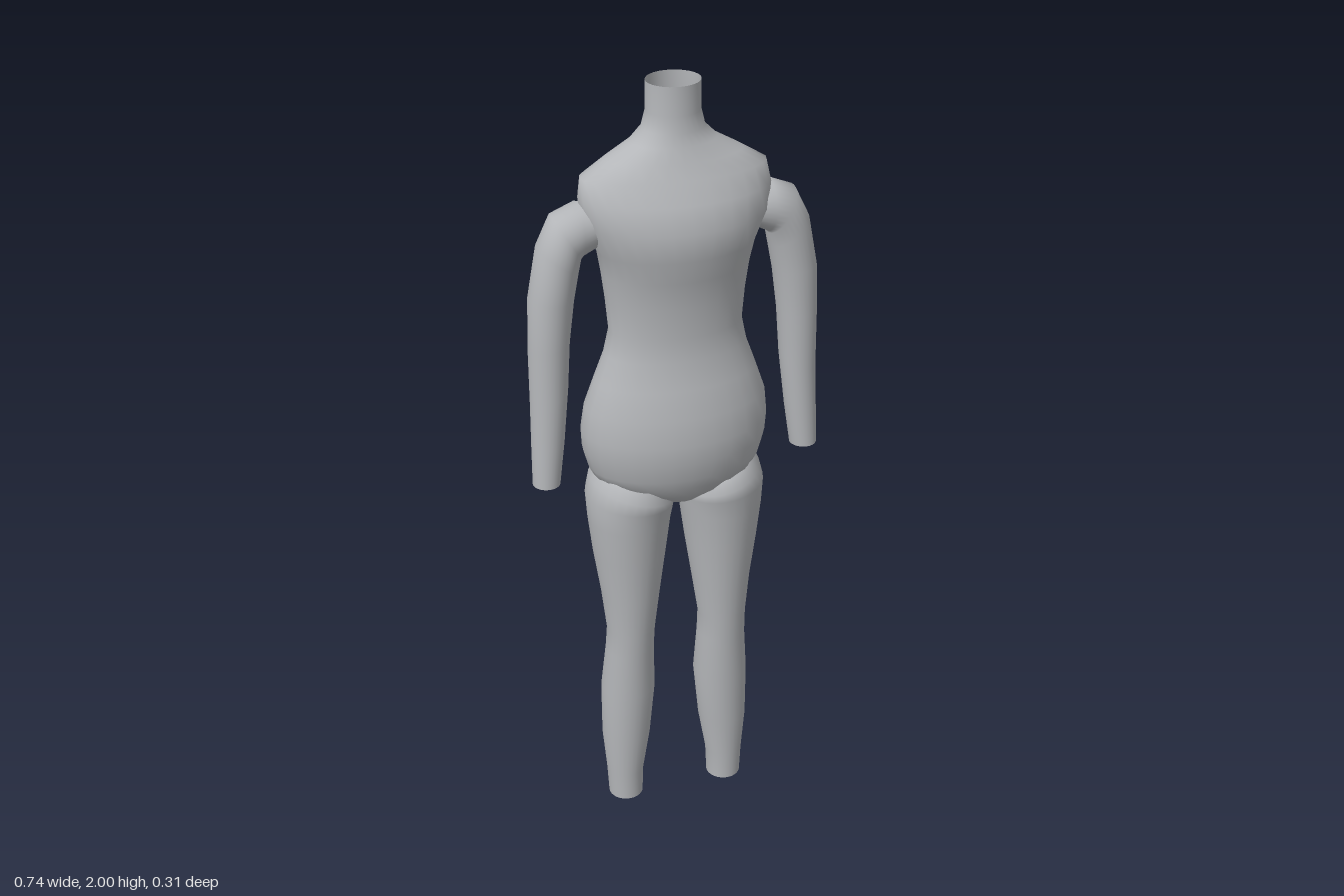
import * as THREE from 'three';

const skin = new THREE.MeshStandardMaterial({ color: 0xb4b6b9 });
skin.name = 'plain grey';
skin.side = THREE.DoubleSide;

const SEGMENTS = 28;

// Skins a row of elliptical rings. Each ring is [x0, y0, x1, y1, zBack, zFront]:
// the two ends of its axis in the xy plane and its reach in z.
function loft(name, rings) {
  const positions = [];
  const index = [];
  for (const [x0, y0, x1, y1, zBack, zFront] of rings) {
    for (let i = 0; i < SEGMENTS; i++) {
      const angle = (i / SEGMENTS) * Math.PI * 2;
      const k = (1 + Math.cos(angle)) / 2;
      positions.push(
        x0 + (x1 - x0) * k,
        y0 + (y1 - y0) * k,
        (zBack + zFront) / 2 + ((zFront - zBack) / 2) * Math.sin(angle)
      );
    }
  }
  for (let r = 0; r < rings.length - 1; r++) {
    for (let i = 0; i < SEGMENTS; i++) {
      const a = r * SEGMENTS + i;
      const b = r * SEGMENTS + ((i + 1) % SEGMENTS);
      index.push(a, b, a + SEGMENTS, b, b + SEGMENTS, a + SEGMENTS);
    }
  }
  const geometry = new THREE.BufferGeometry();
  geometry.setAttribute('position', new THREE.Float32BufferAttribute(positions, 3));
  geometry.setIndex(index);
  geometry.computeVertexNormals();
  const mesh = new THREE.Mesh(geometry, skin);
  mesh.name = name;
  return mesh;
}

// Swapping the axis ends keeps the faces pointing outwards on the mirrored side.
const mirror = (rings) => rings.map(([x0, y0, x1, y1, b, f]) => [-x1, y1, -x0, y0, b, f]);

// Torso from open neck to crotch: [y, half width, zBack, zFront]
const torso = [
  [2.0, 0.065, -0.064, 0.056],
  [1.93, 0.065, -0.066, 0.056],
  [1.89, 0.075, -0.072, 0.06],
  [1.86, 0.105, -0.078, 0.068],
  [1.825, 0.168, -0.088, 0.082],
  [1.79, 0.226, -0.096, 0.098],
  [1.74, 0.234, -0.105, 0.125],
  [1.68, 0.222, -0.11, 0.149],
  [1.61, 0.193, -0.107, 0.142],
  [1.55, 0.182, -0.101, 0.125],
  [1.48, 0.173, -0.093, 0.114],
  [1.4, 0.166, -0.086, 0.11],
  [1.34, 0.179, -0.092, 0.113],
  [1.27, 0.205, -0.109, 0.128],
  [1.2, 0.229, -0.131, 0.147],
  [1.13, 0.237, -0.15, 0.154],
  [1.08, 0.234, -0.154, 0.153],
  [1.03, 0.22, -0.143, 0.143],
  [1.0, 0.205, -0.13, 0.132],
  [0.97, 0.15, -0.115, 0.118],
  [0.94, 0.075, -0.09, 0.09],
  [0.915, 0.015, -0.04, 0.04],
].map(([y, w, b, f]) => [-w, y, w, y, b, f]);

// Left arm from shoulder to open wrist
const arm = [
  [0.18, 1.63, 0.18, 1.72, -0.045, 0.055],
  [0.23, 1.605, 0.236, 1.735, -0.058, 0.066],
  [0.232, 1.6, 0.298, 1.71, -0.059, 0.068],
  [0.238, 1.565, 0.335, 1.635, -0.056, 0.066],
  [0.25, 1.5, 0.359, 1.51, -0.05, 0.063],
  [0.264, 1.39, 0.364, 1.38, -0.044, 0.06],
  [0.272, 1.27, 0.365, 1.23, -0.035, 0.058],
  [0.287, 1.13, 0.368, 1.12, -0.022, 0.06],
  [0.302, 1.02, 0.37, 1.02, -0.01, 0.06],
];

// Left leg from hip crease to open ankle
const leg = [
  [0.02, 0.97, 0.2, 1.02, -0.11, 0.11],
  [0.008, 0.94, 0.218, 0.995, -0.126, 0.13],
  [0.008, 0.925, 0.23, 0.95, -0.115, 0.124],
  [0.017, 0.88, 0.226, 0.88, -0.102, 0.116],
  [0.03, 0.78, 0.215, 0.78, -0.087, 0.105],
  [0.047, 0.66, 0.198, 0.66, -0.063, 0.093],
  [0.062, 0.55, 0.187, 0.55, -0.042, 0.085],
  [0.063, 0.48, 0.189, 0.48, -0.052, 0.079],
  [0.058, 0.35, 0.2, 0.35, -0.069, 0.074],
  [0.072, 0.2, 0.2, 0.2, -0.06, 0.066],
  [0.092, 0.08, 0.19, 0.08, -0.045, 0.057],
  [0.095, 0, 0.186, 0, -0.038, 0.054],
];

export function createModel() {
  const body = new THREE.Group();
  body.name = 'body';
  body.add(
    loft('torso', torso),
    loft('leftArm', arm),
    loft('rightArm', mirror(arm)),
    loft('leftLeg', leg),
    loft('rightLeg', mirror(leg))
  );
  return body;
}
